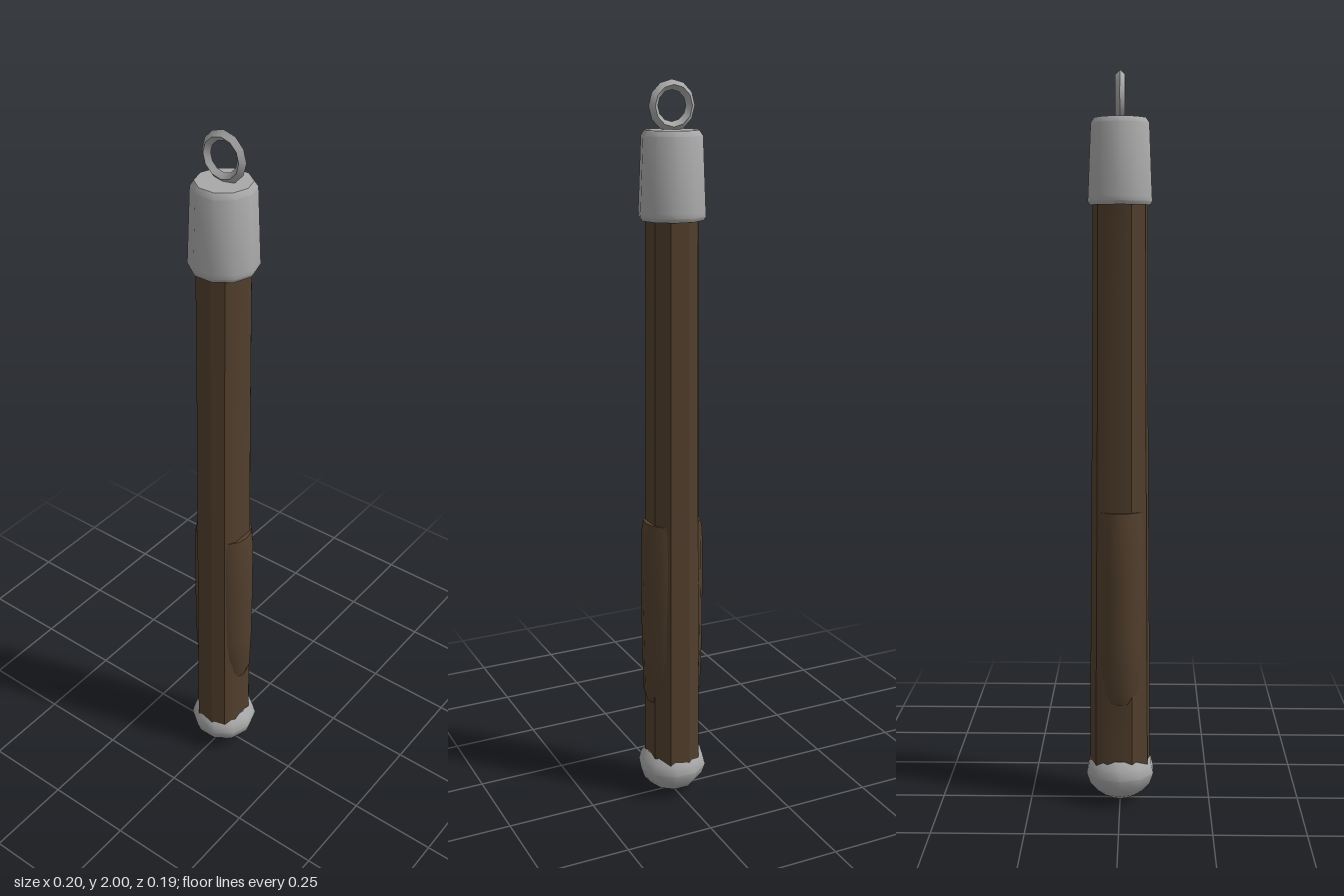
import * as THREE from 'three';
import { toCreasedNormals } from 'three/addons/utils/BufferGeometryUtils.js';

// Skin stacked sections (arrays of [x, y, z], counter-clockwise from above) and close both ends
function loft(sections, crease) {
  const pos = [];
  const n = sections[0].length;
  const tri = (a, b, c) => pos.push(...a, ...b, ...c);
  const centre = (s) => [0, s[0][1], 0];
  const last = sections[sections.length - 1];
  for (let j = 0; j < n; j++) {
    const k = (j + 1) % n;
    for (let i = 0; i < sections.length - 1; i++) {
      const lo = sections[i], hi = sections[i + 1];
      tri(lo[j], lo[k], hi[k]);
      tri(lo[j], hi[k], hi[j]);
    }
    tri(centre(sections[0]), sections[0][k], sections[0][j]);
    tri(centre(last), last[j], last[k]);
  }
  const geo = new THREE.BufferGeometry();
  geo.setAttribute('position', new THREE.Float32BufferAttribute(pos, 3));
  return toCreasedNormals(geo, crease);
}

// Ten-sided turned part with corners on the x axis
function turned(profile, crease) {
  const points = profile.map(([r, y]) => new THREE.Vector2(r, y));
  return toCreasedNormals(new THREE.LatheGeometry(points, 10, Math.PI / 2), crease);
}

export function createModel() {
  const wood = new THREE.MeshStandardMaterial({ name: 'dark wood', color: 0x523f2d });
  const metal = new THREE.MeshStandardMaterial({ name: 'grey metal', color: 0xa8a8a8 });
  const model = new THREE.Group();
  model.name = 'handle';
  const add = (name, geometry, material) => {
    const mesh = new THREE.Mesh(geometry, material);
    mesh.name = name;
    model.add(mesh);
    return mesh;
  };

  // Shaft: faceted oval with half-turn symmetry, tapering upwards
  const half = [[0.062, 0.03], [0.047, 0.058], [0.015, 0.073], [-0.035, 0.067], [-0.062, 0.03]];
  const outline = [...half, ...half.map(([x, z]) => [-x, -z])].reverse();
  const shaftLevels = [[0.09, 1.13, 1.14], [0.3, 1.12, 1.13], [0.83, 1.07, 1.07], [1.2, 1.03, 1.03], [1.7, 1, 1]];
  add('shaft', loft(shaftLevels.map(([y, sx, sz]) => outline.map(([x, z]) => [x * sx, y, z * sz])), 0.5), wood);

  // Grip swelling: oval sleeve that shows on both sides of the shaft
  const gripLevels = [[0.295, 0.076, 0.056], [0.32, 0.083, 0.068], [0.45, 0.086, 0.077],
    [0.65, 0.088, 0.077], [0.8, 0.086, 0.076], [0.83, 0.08, 0.074]];
  const oval = gripLevels.map(([y, rx, rz]) => Array.from({ length: 16 }, (_, j) => {
    const a = (j / 16) * Math.PI * 2;
    return [rx * Math.cos(a), y, -rz * Math.sin(a)];
  }));
  add('grip', loft(oval, 0.6), wood);

  // Pommel: flattened ball cut off where it meets the shaft
  add('pommel', turned([[0, 0], [0.035, 0.009], [0.066, 0.027], [0.088, 0.053], [0.098, 0.083],
    [0.091, 0.11], [0.074, 0.13], [0, 0.135]], 0.75), metal);

  // End cap with a flared lip and chamfered top
  add('cap', turned([[0, 1.665], [0.072, 1.655], [0.084, 1.65], [0.09, 1.66], [0.089, 1.672],
    [0.081, 1.862], [0.071, 1.876], [0, 1.876]], 0.66), metal);

  // Hanging ring with a diamond section
  const ring = add('hangingRing', toCreasedNormals(new THREE.TorusGeometry(0.052, 0.013, 4, 12), 0.6), metal);
  ring.position.y = 1.935;

  return model;
}
